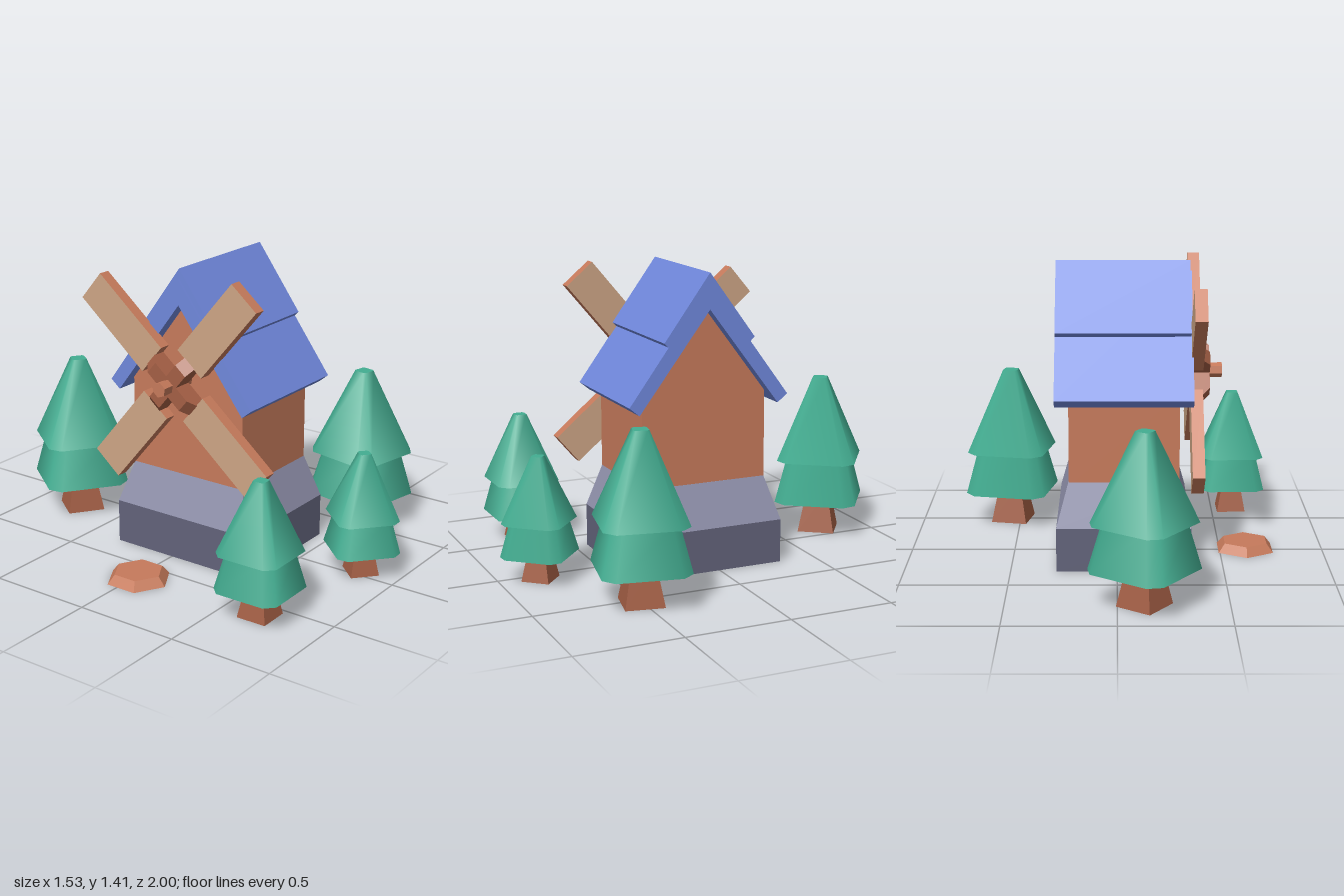
import * as THREE from 'three';

const mat = (name, color) => {
  const m = new THREE.MeshStandardMaterial({ color });
  m.name = name;
  return m;
};

export function createModel() {
  const clay = mat('clay', 0xc67a5b);
  const bark = mat('bark', 0xa45f45);
  const tan = mat('tan sailcloth', 0xcda585);
  const blue = mat('blue roof', 0x7088dc);
  const green = mat('pine green', 0x43ad91);
  const darkStone = mat('dark stone', 0x62637a);
  const lightStone = mat('light stone', 0x9293ae);

  const model = new THREE.Group();
  model.name = 'windmillScene';

  const add = (parent, name, geometry, material) => {
    const mesh = new THREE.Mesh(geometry, material);
    mesh.name = name;
    parent.add(mesh);
    return mesh;
  };
  const flat = (geometry) => {
    const g = geometry.index ? geometry.toNonIndexed() : geometry;
    g.computeVertexNormals();
    return g;
  };
  // Symmetric profile in (z, y), extruded along x between x0 and x1
  const alongX = (half, x0, x1) => {
    const points = [...half, ...half.slice().reverse().map(([z, y]) => [-z, y])]
      .filter(([z], i, a) => !(z === 0 && i > 0 && a[i - 1][0] === 0) && !(Object.is(z, -0) && i === a.length - 1));
    const shape = new THREE.Shape(points.map(([z, y]) => new THREE.Vector2(z, y)));
    const g = new THREE.ExtrudeGeometry(shape, { depth: x1 - x0, bevelEnabled: false });
    return g.rotateY(Math.PI / 2).translate(x0, 0, 0);
  };
  // Rectangular block whose top can be narrower than its bottom
  const taperedBlock = (bx, bz, tx, tz, y0, y1) => {
    const g = new THREE.BoxGeometry(1, 1, 1);
    const p = g.attributes.position;
    for (let i = 0; i < p.count; i++) {
      const top = p.getY(i) > 0;
      p.setXYZ(i, p.getX(i) * (top ? tx : bx), top ? y1 : y0, p.getZ(i) * (top ? tz : bz));
    }
    return flat(g);
  };

  // Mill house
  const house = new THREE.Group();
  house.name = 'millHouse';
  house.position.set(0, 0, 0.055);
  model.add(house);
  add(house, 'stonePlinth', taperedBlock(0.63, 0.75, 0.63, 0.75, 0, 0.21), darkStone).position.x = -0.03;
  add(house, 'stoneSkirt', taperedBlock(0.63, 0.75, 0.515, 0.62, 0.21, 0.42), lightStone).position.x = -0.03;
  add(house, 'walls', alongX([[0.311, 0.4], [0.311, 0.838], [0, 1.25]], -0.29, 0.226), clay);

  // Two overlapping roof layers: outer edge up to the ridge, then the underside
  const roofLayer = (name, outer, ridge, inner, under, x0) => {
    const shape = new THREE.Shape([
      [outer[0], outer[1]], [0, ridge], [-outer[0], outer[1]],
      [-inner[0], inner[1]], [0, under], [inner[0], inner[1]],
    ].map(([z, y]) => new THREE.Vector2(z, y)));
    const g = new THREE.ExtrudeGeometry(shape, { depth: 0.29 - x0, bevelEnabled: false });
    add(house, name, g.rotateY(Math.PI / 2).translate(x0, 0, 0), blue);
  };
  roofLayer('lowerRoof', [0.398, 0.825], 1.366, [0.349, 0.785], 1.246, -0.352);
  roofLayer('upperRoof', [0.226, 1.107], 1.415, [0.205, 1.087], 1.35, -0.344);

  // Sails: four blades with short chamfered arms around an axle
  const sails = new THREE.Group();
  sails.name = 'sails';
  sails.position.set(0, 0.887, 0.055);
  sails.rotation.x = 0.7;
  model.add(sails);
  const armShape = new THREE.Shape([
    [-0.44, 0], [-0.345, 0], [-0.345, 0.165], [-0.40, 0.158], [-0.44, 0.115],
  ].map(([x, y]) => new THREE.Vector2(x, y)));
  for (let i = 0; i < 4; i++) {
    const sail = new THREE.Group();
    sail.name = 'sail';
    sail.rotation.x = i * Math.PI / 2;
    sails.add(sail);
    add(sail, 'sailArm', new THREE.ExtrudeGeometry(armShape, { depth: 0.07, bevelEnabled: false })
      .translate(0, 0, -0.035), bark);
    // broad faces are cloth, the rim is clay
    add(sail, 'sailBlade', new THREE.BoxGeometry(0.058, 0.456, 0.17).translate(-0.374, 0.379, 0),
      [tan, tan, clay, clay, clay, clay]);
  }
  add(sails, 'axle', flat(new THREE.CylinderGeometry(0.036, 0.032, 0.21, 6).rotateZ(Math.PI / 2))
    .translate(-0.395, 0, 0), clay);

  // Hexagonal stepping stone
  add(model, 'steppingStone', flat(new THREE.CylinderGeometry(0.117, 0.152, 0.042, 6)), clay)
    .position.set(-0.625, 0.021, 0.022);

  // Smooth frustum with a square plan and narrow cut corners
  const tier = (rTop, rBottom, y0, y1) => {
    const g = new THREE.CylinderGeometry(rTop, rBottom, y1 - y0, 8, 1, false, -Math.PI / 8);
    for (const a of [g.attributes.position, g.attributes.normal]) {
      for (let i = 0; i < a.count; i++) {
        const r = Math.hypot(a.getX(i), a.getZ(i));
        if (r < 1e-6) continue;
        const t = Math.atan2(a.getX(i), a.getZ(i));
        const q = Math.round(t / (Math.PI / 2)) * Math.PI / 2;
        const w = q + (t - q) * 0.38;
        a.setX(i, r * Math.sin(w));
        a.setZ(i, r * Math.cos(w));
      }
    }
    return g.translate(0, (y0 + y1) / 2, 0);
  };

  // Pine trees: x, z, height, turn
  for (const [x, z, h, turn] of [
    [-0.12, -0.75, 0.793, 0.16],
    [0.54, 0.505, 0.793, 0.588],
    [-0.6, 0.68, 0.637, 0.8],
    [0.045, 0.807, 0.588, 0.06],
  ]) {
    const tree = new THREE.Group();
    tree.name = 'pineTree';
    tree.position.set(x, 0, z);
    tree.rotation.y = turn;
    tree.scale.setScalar(h);
    model.add(tree);
    add(tree, 'trunk', flat(new THREE.CylinderGeometry(0.095, 0.162, 0.26, 4).translate(0, 0.13, 0)), bark);
    add(tree, 'lowerFoliage', tier(0.235, 0.318, 0.212, 0.49), green);
    add(tree, 'upperFoliage', tier(0.055, 0.305, 0.48, 1), green);
  }
  return model;
}
